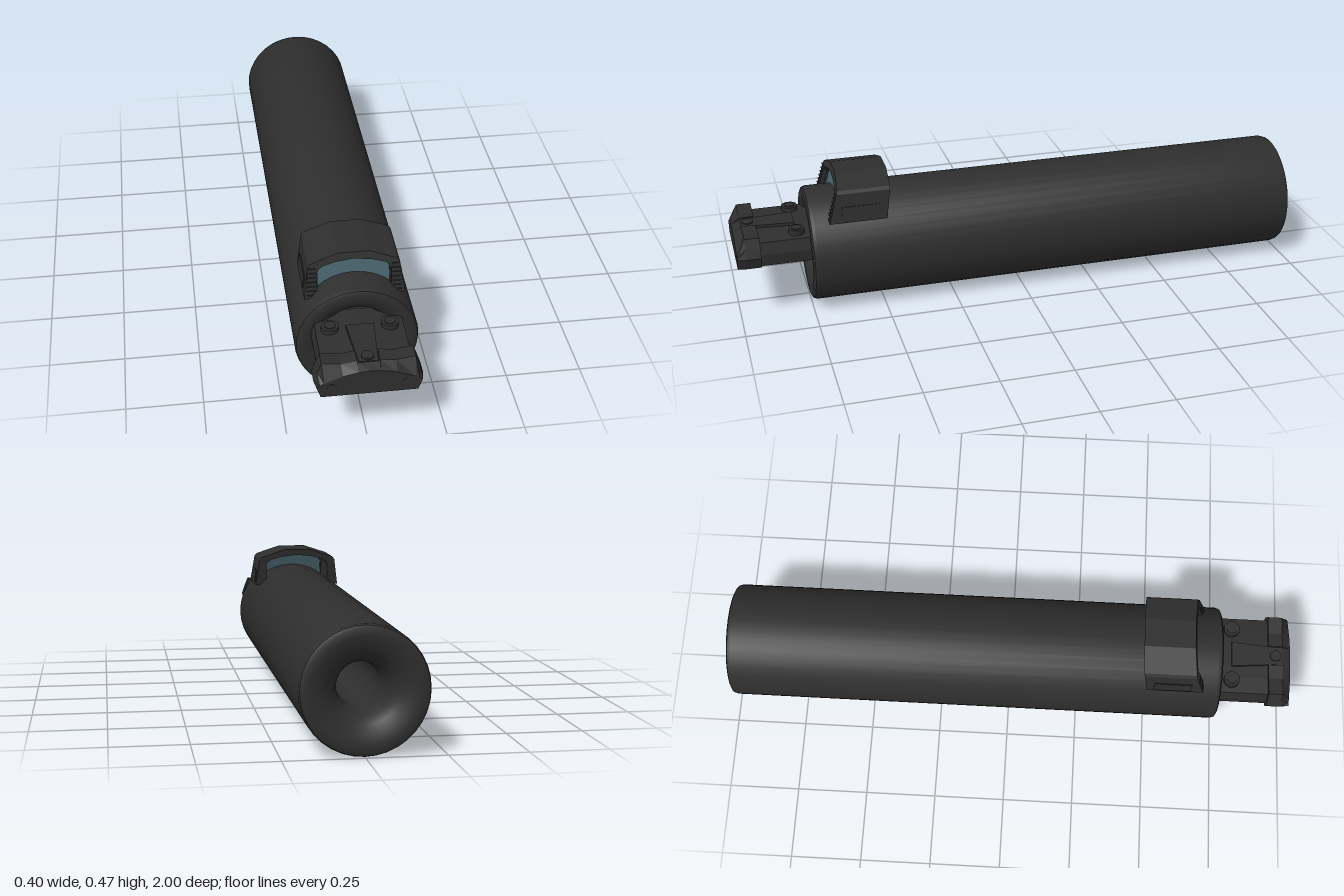
import * as THREE from 'three';
import { toCreasedNormals } from 'three/addons/utils/BufferGeometryUtils.js';

export function createModel() {
  const model = new THREE.Group();
  const black = new THREE.MeshStandardMaterial({ color: 0x2e2e2e });
  black.name = 'matte black';
  const teal = new THREE.MeshStandardMaterial({ color: 0x46626a });
  teal.name = 'teal glass';
  teal.side = THREE.DoubleSide;

  const add = (name, geometry, material = black, parent = model) => {
    const mesh = new THREE.Mesh(geometry, material);
    mesh.name = name;
    parent.add(mesh);
    return mesh;
  };
  const shapeOf = (pts) => new THREE.Shape(pts.map(([x, y]) => new THREE.Vector2(x, y)));
  // mirrors a right half (bottom to top) into a full outline
  const mirrored = (half) => [...half, ...half.slice().reverse().filter(([x]) => x > 0).map(([x, y]) => [-x, y])];
  const extrude = (pts, depth, steps = 1) =>
    new THREE.ExtrudeGeometry(shapeOf(pts), { depth, steps, bevelEnabled: false });
  const reshape = (geo, rule) => {
    const p = geo.attributes.position;
    for (let i = 0; i < p.count; i++) p.setXYZ(i, ...rule(p.getX(i), p.getY(i), p.getZ(i)));
    geo.computeVertexNormals();
    return geo;
  };

  // Hollow tube with a funnel at each end
  const profile = [
    [0.07, -0.86], [0.075, -0.91], [0.088, -0.95], [0.108, -0.977], [0.135, -0.993], [0.165, -1],
    [0.186, -1], [0.196, -0.995], [0.2, -0.983], [0.2, 0.733], [0.196, 0.745], [0.186, 0.75],
    [0.165, 0.75], [0.142, 0.743], [0.12, 0.725], [0.104, 0.7], [0.096, 0.66], [0.095, 0.63],
    [0.07, 0.62], [0.07, -0.86],
  ].map(([r, z]) => new THREE.Vector2(r, z));
  const tube = new THREE.LatheGeometry(profile, 36);
  tube.rotateX(Math.PI / 2).translate(0, 0.2, 0);
  add('tube', toCreasedNormals(tube, 0.7));

  // Sight hood: a leaning arch, open front and back
  const sight = new THREE.Group();
  sight.name = 'sight';
  model.add(sight);
  const lean = (x, y, z) => {
    const t = (y - 0.335) / 0.14;
    return [x, y, THREE.MathUtils.lerp(0.487 - 0.022 * t, 0.684 - 0.042 * t, z)];
  };
  const opening = [[0.12, 0.335], [0.12, 0.415], [0.114, 0.427], [0.1, 0.436], [0.06, 0.447], [0, 0.454]];
  const outer = [[0.162, 0.335], [0.148, 0.435], [0.14, 0.445], [0.05, 0.475]];
  const arch = [...mirrored(outer), ...mirrored(opening).reverse()];
  add('sightHood', reshape(extrude(arch, 1), lean), black, sight);
  add('sightGlass', reshape(extrude(mirrored(opening), 0.03), (x, y, z) => lean(x, y, z + 0.86)), teal, sight);

  // Inner lip, front serrations and side panels of the hood
  const lipOuter = opening.map(([x, y]) => [x, y]);
  const lipInner = opening.map(([x, y], i) => [x * 0.965, i ? y - 0.004 : y]);
  const lip = [...mirrored(lipOuter), ...mirrored(lipInner).reverse()];
  add('glassFrame', reshape(extrude(lip, 0.1), (x, y, z) => lean(x, y, z + 0.83)), black, sight);
  for (const side of [-1, 1]) {
    for (let i = 0; i < 7; i++) {
      const y = 0.345 + i * 0.014;
      const ridge = new THREE.BoxGeometry(0.026, 0.006, 0.008);
      ridge.translate(side * (0.139 - i * 0.0006), y, lean(0, y, 1)[2]);
      add('hoodRidge', ridge, black, sight);
    }
    const panel = new THREE.BoxGeometry(0.008, 0.045, 0.13);
    const mesh = add('hoodSidePanel', panel, black, sight);
    mesh.position.set(side * 0.157, 0.368, 0.575);
    mesh.rotation.z = side * 0.14;
  }

  // Front mount: a flat-bottomed body reaching into the tube mouth
  const mount = new THREE.Group();
  mount.name = 'frontMount';
  model.add(mount);
  const bodyHalf = [[0.145, 0.203], [0.15, 0.245], [0.14, 0.287], [0.085, 0.292], [0.035, 0.294]];
  const body = extrude(mirrored(bodyHalf), 0.25);
  body.translate(0, 0, 0.7);
  add('mountBody', body, black, mount);

  // Wide nose with swept corners and an arched, chamfered front face
  const noseHalf = [[0.155, 0.203], [0.169, 0.243], [0.158, 0.275], [0.145, 0.309], [0.085, 0.301], [0.035, 0.307], [0.034, 0.301], [0, 0.301]];
  const nose = reshape(extrude(mirrored(noseHalf), 0.08, 2), (x, y, z) => {
    if (z > 0.07) return [x * 0.97, y > 0.25 ? Math.min(y, 0.29 - 1.7 * x * x) : y, 1];
    if (z < 0.01) return [x, y, 0.92];
    return [x, y, 0.97];
  });
  add('mountNose', nose, black, mount);

  // Raised tapering rail along the top
  const rail = shapeOf([[-0.03, -0.97], [0.03, -0.97], [0.045, -0.79], [-0.045, -0.79]]);
  const railGeo = new THREE.ExtrudeGeometry(rail, { depth: 0.015, bevelEnabled: false });
  railGeo.rotateX(-Math.PI / 2).translate(0, 0.289, 0);
  add('mountRail', railGeo, black, mount);

  // Bolts on the top and in the nose
  const bolt = (name, r, h, x, y, z, forward) => {
    const g = new THREE.CylinderGeometry(r, r, h, 16);
    if (forward) g.rotateX(Math.PI / 2);
    add(name, toCreasedNormals(g, 0.7), black, mount).position.set(x, y, z);
  };
  for (const side of [-1, 1]) {
    bolt('topBolt', 0.028, 0.03, side * 0.095, 0.292, 0.79, false);
    bolt('topBoltHead', 0.018, 0.006, side * 0.095, 0.307, 0.79, false);
    bolt('noseBolt', 0.015, 0.006, side * 0.117, 0.235, 0.998, true);
  }
  bolt('centreBolt', 0.02, 0.008, 0, 0.305, 0.945, false);

  return model;
}
